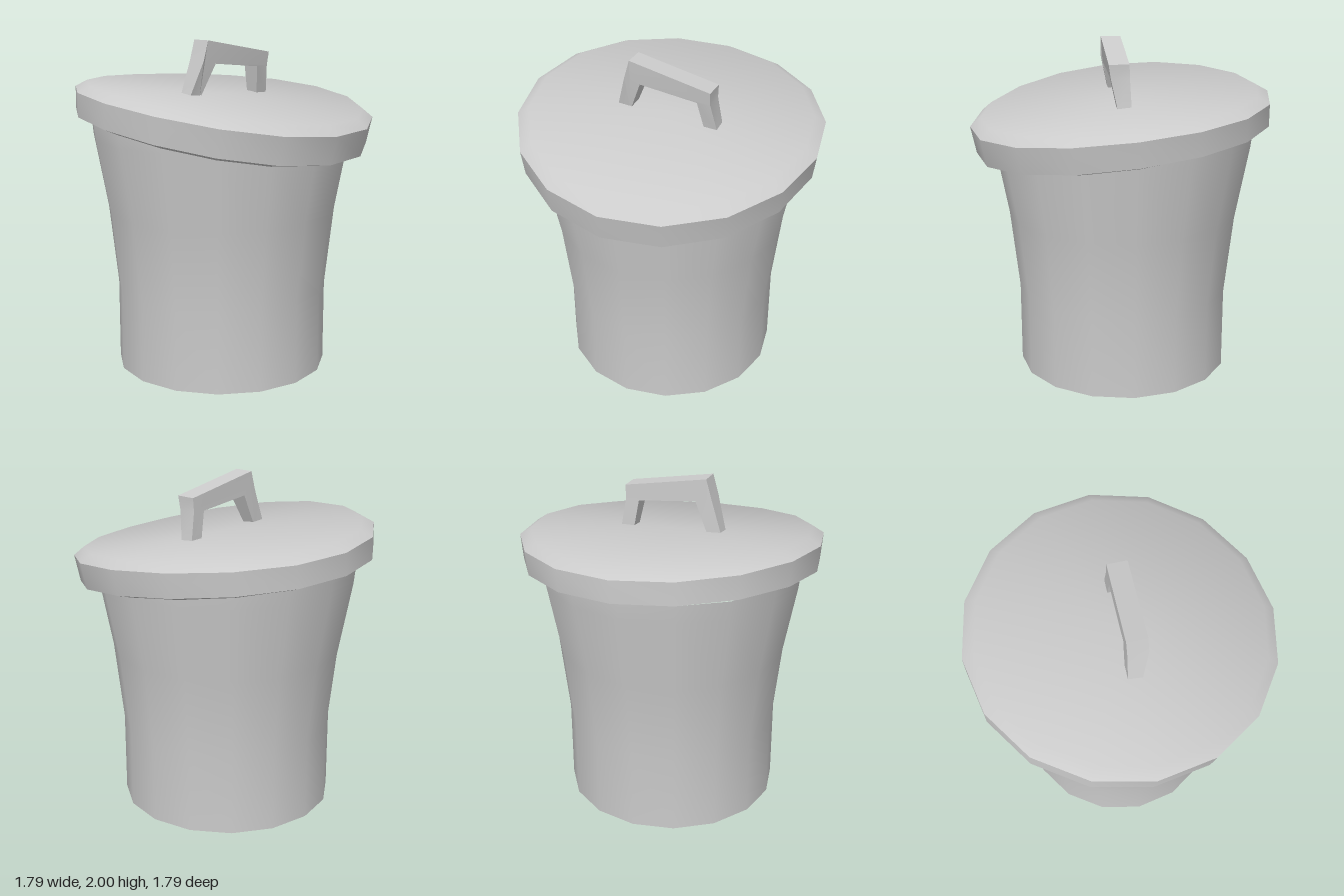
import * as THREE from 'three';
import { toCreasedNormals } from 'three/addons/utils/BufferGeometryUtils.js';

const SIDES = 16;

function addMesh(group, name, geometry, crease) {
  const material = new THREE.MeshStandardMaterial({ color: 0xcccccc });
  const mesh = new THREE.Mesh(toCreasedNormals(geometry, crease), material);
  mesh.name = name;
  group.add(mesh);
}

// Move every vertex of a geometry by a rule
function deform(geometry, rule) {
  const pos = geometry.attributes.position;
  const v = new THREE.Vector3();
  for (let i = 0; i < pos.count; i++) {
    rule(v.fromBufferAttribute(pos, i));
    pos.setXYZ(i, v.x, v.y, v.z);
  }
  return geometry;
}

const lathe = (profile) =>
  new THREE.LatheGeometry(profile.map(([r, y]) => new THREE.Vector2(r, y)), SIDES);

export function createModel() {
  const model = new THREE.Group();
  model.name = 'trashCan';

  // Flared can, closed at the bottom, its top hidden inside the lid
  const can = lathe([[0, 0], [0.643, 0], [0.643, 0.49], [0.695, 0.97], [0.778, 1.42], [0.79, 1.53]]);
  can.translate(-0.007, 0, -0.018);
  addMesh(model, 'can', can, 0.7);

  // Lid: underside, rim, chamfer and top, tilted and slightly warped
  const lid = lathe([[0.74, 1.432], [0.88, 1.475], [0.896, 1.622], [0.83, 1.666], [0, 1.672]]);
  deform(lid, (v) => {
    const { x, y: h, z } = v;
    const tiltZ = 0.1 + 0.13 * Math.max(0, 1.63 - h);
    v.y += -0.043 * x - tiltZ * z + 0.03 * (x * x - z * z);
    v.x += 0.05 * (h - 1.63);
    v.z += 0.12 * (h - 1.63);
  });
  addMesh(model, 'lid', lid, 0.75);

  // Crooked handle, thicker at the top than at its feet
  const outline = [
    [-0.326, 1.65], [-0.242, 1.65], [-0.153, 1.862], [0.2, 1.825], [0.233, 1.64],
    [0.314, 1.64], [0.282, 1.83], [0.286, 1.91], [-0.217, 2], [-0.25, 1.885],
  ].map(([x, y]) => new THREE.Vector2(x, y));
  const handle = new THREE.ExtrudeGeometry(new THREE.Shape(outline), { depth: 1, bevelEnabled: false });
  deform(handle, (v) => {
    const t = THREE.MathUtils.clamp((v.y - 1.67) / 0.21, 0, 1);
    v.z = v.z > 0.5
      ? THREE.MathUtils.lerp(0.043, 0.095, t)
      : THREE.MathUtils.lerp(-0.035, -0.024, t);
  });
  addMesh(model, 'handle', handle, 0.3);

  return model;
}
